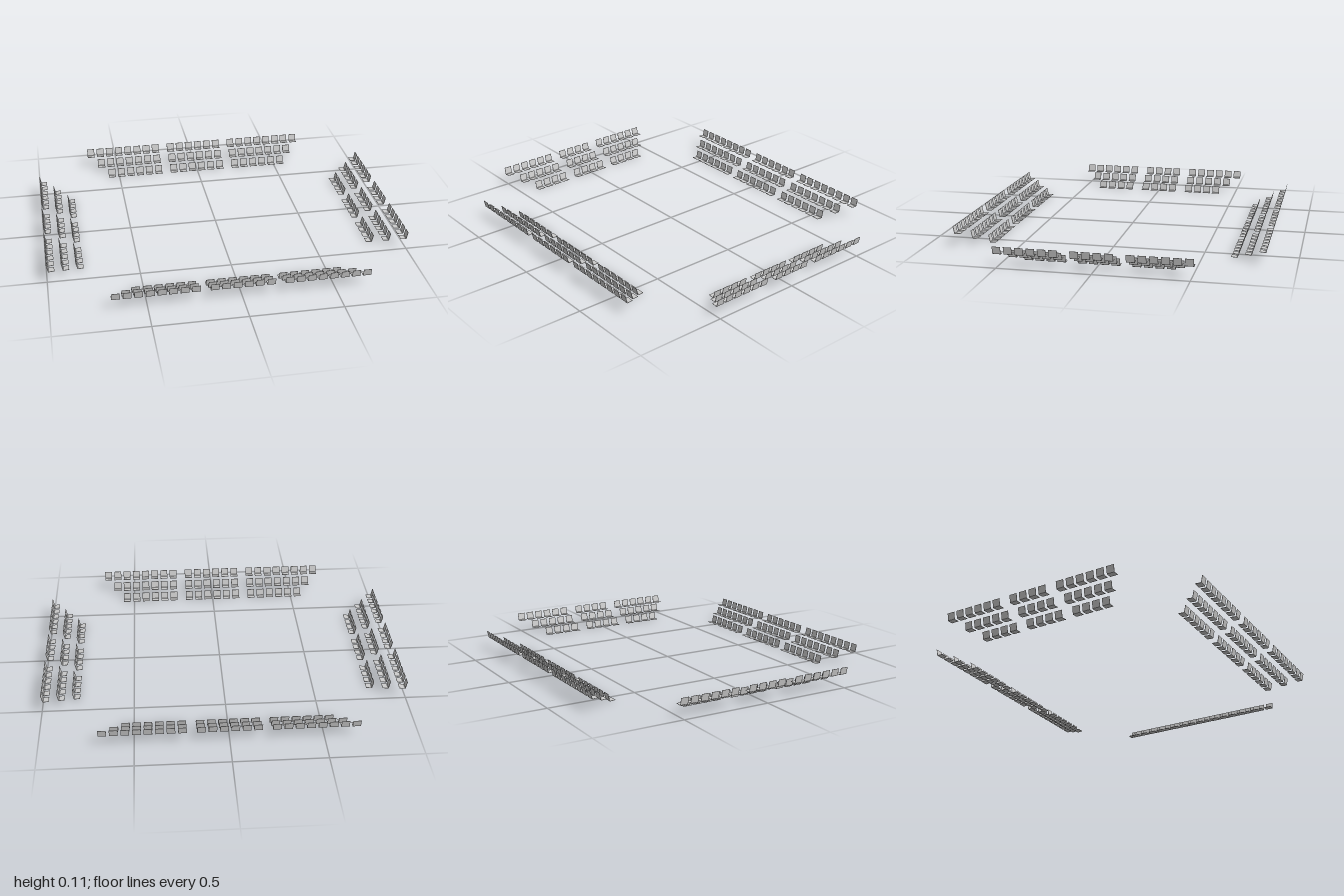
import * as THREE from 'three';

const PITCH = 0.0595;   // seat spacing along a row
const WIDTH = 0.044;    // seat width
const ROW_STEP = 0.079; // each row is further out...
const ROW_RISE = 0.036; // ...and higher

// Thin L-shaped shell: +x points outward, away from the field
function seatGeometry() {
  const profile = [
    [0, 0.003], [0.031, 0], [0.0345, 0.002], [0.043, 0.042],
    [0.0412, 0.042], [0.033, 0.0036], [0.0305, 0.0018], [0, 0.0048],
  ];
  const shape = new THREE.Shape(profile.map(([x, y]) => new THREE.Vector2(x, y)));
  return new THREE.ExtrudeGeometry(shape, { depth: WIDTH, bevelEnabled: false })
    .translate(0, 0, -WIDTH / 2);
}

export function createModel() {
  const model = new THREE.Group();
  model.name = 'stadiumSeating';
  const geometry = seatGeometry();
  const material = new THREE.MeshStandardMaterial({
    color: 0xcccccc, flatShading: true, side: THREE.DoubleSide,
  });

  function addSeat(row, x, y, z) {
    const seat = new THREE.Mesh(geometry, material);
    seat.name = 'seat';
    seat.position.set(x, y, z);
    row.add(seat);
  }

  // One stand: three rows, each with a middle block and two outer blocks
  function addStand({ name, angle, distance, middle, outer, inner }) {
    const stand = new THREE.Group();
    stand.name = name;
    for (let r = 0; r < 3; r++) {
      const row = new THREE.Group();
      row.name = `row${r + 1}`;
      const x = distance + r * ROW_STEP, y = r * ROW_RISE;
      for (let i = 0; i < middle; i++) addSeat(row, x, y, (i - (middle - 1) / 2) * PITCH);
      // outer blocks gain one seat per row
      for (let i = 0; i < outer + r; i++) {
        for (const side of [-1, 1]) addSeat(row, x, y, side * (inner + i * PITCH));
      }
      stand.add(row);
    }
    stand.rotation.y = angle;
    model.add(stand);
  }

  const long = { distance: 0.648, middle: 6, outer: 6, inner: 0.247 };
  const short = { distance: 0.799, middle: 4, outer: 4, inner: 0.198 };
  addStand({ name: 'leftStand', angle: 0, ...short });
  addStand({ name: 'rightStand', angle: Math.PI, ...short });
  addStand({ name: 'backStand', angle: Math.PI / 2, ...long });
  addStand({ name: 'frontStand', angle: -Math.PI / 2, ...long });
  return model;
}
